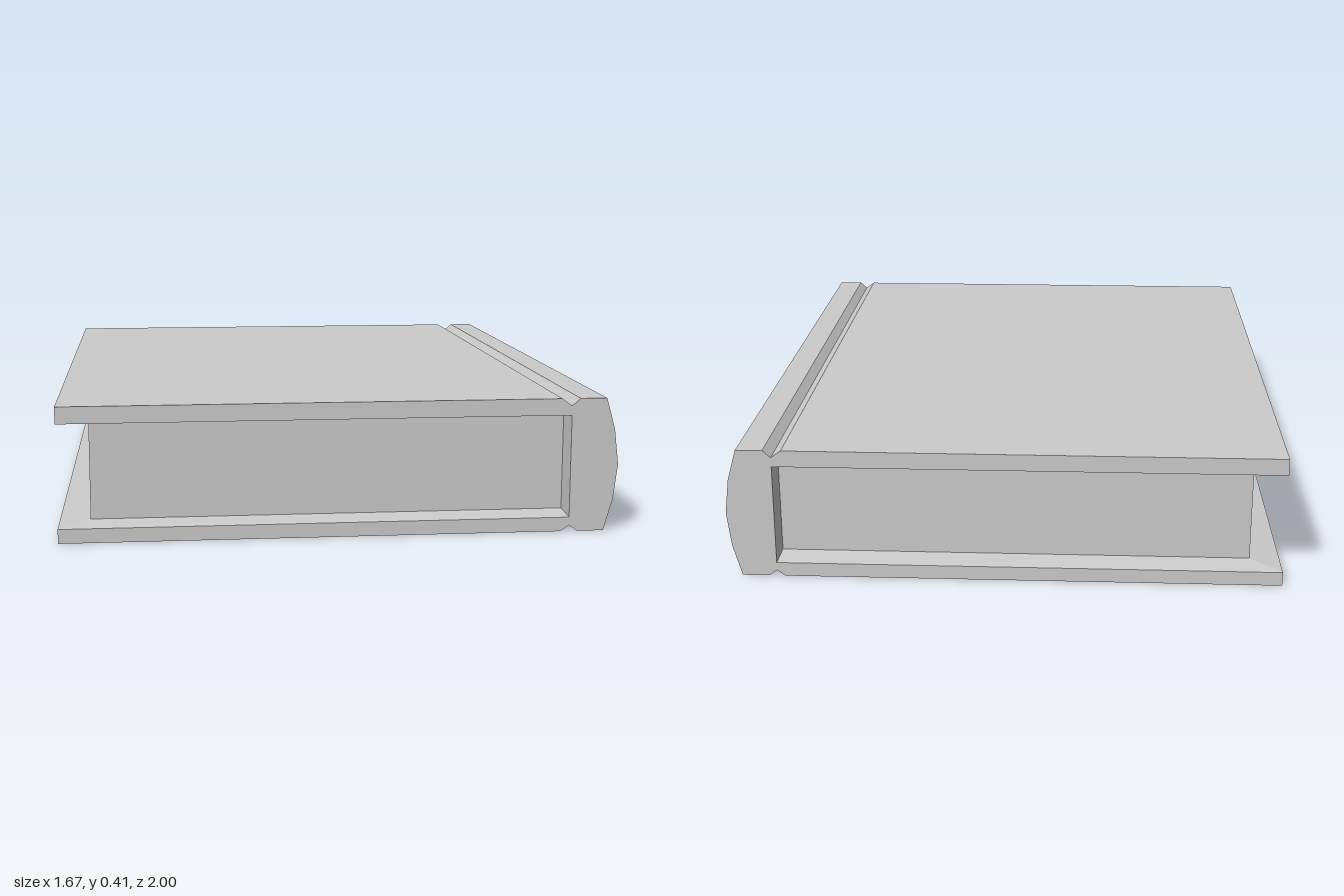
import * as THREE from 'three';
import { toCreasedNormals } from 'three/addons/utils/BufferGeometryUtils.js';

const material = new THREE.MeshStandardMaterial({ color: 0xcccccc });

// Boards, hinge grooves and rounded spine as one C-shaped profile
function makeCover() {
  const profile = [
    [-0.838, 0], [0.665, 0], [0.69, 0.018], [0.715, 0], [0.796, 0],
    [0.823, 0.095], [0.836, 0.203], [0.823, 0.311], [0.796, 0.406],
    [0.715, 0.406], [0.69, 0.384], [0.66, 0.406], [-0.838, 0.406],
    [-0.838, 0.355], [0.69, 0.355], [0.69, 0.043], [-0.838, 0.043],
  ].map(([x, y]) => new THREE.Vector2(x, y));
  const geometry = new THREE.ExtrudeGeometry(new THREE.Shape(profile), { depth: 2, bevelEnabled: false });
  geometry.translate(0, 0, -1);
  const cover = new THREE.Mesh(toCreasedNormals(geometry, 0.5), material);
  cover.name = 'cover';
  return cover;
}

// Page block set back from the boards, with the board linings sloping in to it
function makePages() {
  // [x, z] around the three open sides, from front spine to back spine
  const rim = [[0.69, 1], [-0.838, 1], [-0.838, -1], [0.69, -1]];
  const inset = [[0.685, 0.925], [-0.745, 0.925], [-0.745, -0.925], [0.685, -0.925]];
  const levels = [[rim, 0.043], [inset, 0.054], [inset, 0.345], [rim, 0.355]];
  const point = (level, i) => {
    const [path, y] = levels[level];
    return [path[i][0], y, path[i][1]];
  };
  const positions = [];
  const quad = (a, aUp, b, bUp) => positions.push(...a, ...aUp, ...b, ...b, ...aUp, ...bUp);

  for (let i = 0; i < 3; i++) {
    for (let j = 0; j < 3; j++) {
      quad(point(j, i), point(j + 1, i), point(j, i + 1), point(j + 1, i + 1));
    }
  }
  // Spine lining at the front and back ends
  quad(point(0, 0), point(3, 0), point(1, 0), point(2, 0));
  quad(point(1, 3), point(2, 3), point(0, 3), point(3, 3));

  const geometry = new THREE.BufferGeometry();
  geometry.setAttribute('position', new THREE.Float32BufferAttribute(positions, 3));
  geometry.computeVertexNormals();
  const pages = new THREE.Mesh(geometry, material);
  pages.name = 'pages';
  return pages;
}

export function createModel() {
  const book = new THREE.Group();
  book.name = 'book';
  book.add(makeCover(), makePages());
  return book;
}
